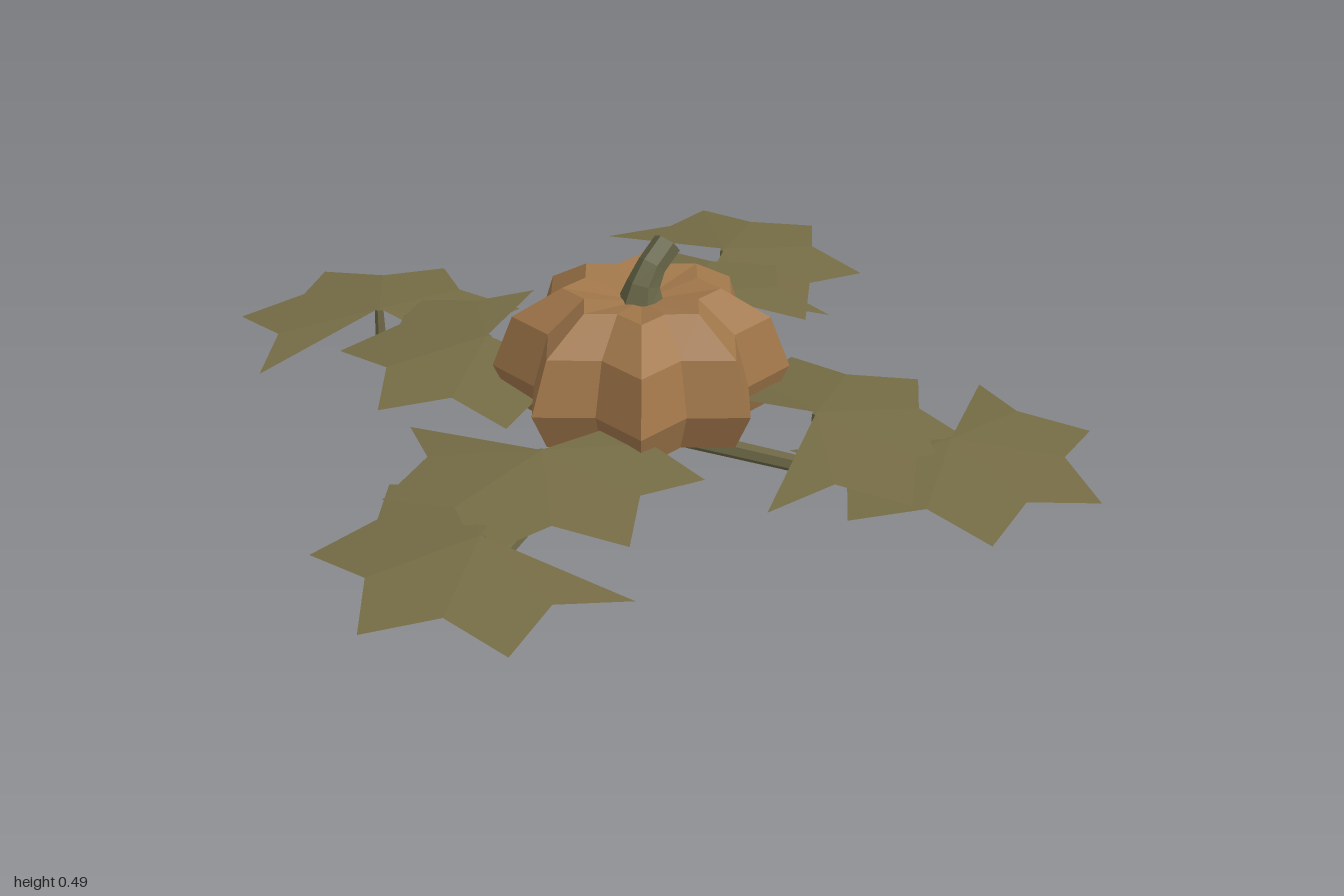
import * as THREE from 'three';

const CX = 0.013, CZ = 0.013; // pumpkin axis
const V = (x, y, z) => new THREE.Vector3(x, y, z);

const mat = (name, color, extra = {}) => {
  const m = new THREE.MeshStandardMaterial({ color, flatShading: true, ...extra });
  m.name = name;
  return m;
};

// Skin between closed rings of equal point count, listed bottom to top
function loft(rings) {
  const n = rings[0].length, pos = [], idx = [];
  rings.forEach(r => r.forEach(p => pos.push(p.x, p.y, p.z)));
  for (let i = 0; i < rings.length - 1; i++)
    for (let j = 0; j < n; j++) {
      const a = i * n + j, b = i * n + (j + 1) % n;
      idx.push(a, b, b + n, a, b + n, a + n);
    }
  const g = new THREE.BufferGeometry();
  g.setAttribute('position', new THREE.Float32BufferAttribute(pos, 3));
  g.setIndex(idx);
  g.computeVertexNormals();
  return g;
}

// Ring tilted about z, with every second point pulled in by the valley factor
function ring(cx, y, r, n, valley = 1, tilt = 0) {
  return Array.from({ length: n }, (_, j) => {
    const a = j / n * Math.PI * 2, q = j % 2 ? r * valley : r;
    return V(Math.cos(a) * q, 0, -Math.sin(a) * q)
      .applyAxisAngle(V(0, 0, 1), tilt).add(V(cx, y, CZ));
  });
}

// Leaf: seven-pointed star with one point missing, drooping from its centre
function leafGeometry(missing) {
  const pos = [0, 0, 0], idx = [], step = Math.PI * 2 / 7;
  const start = missing * Math.PI / 180 + step;
  for (let k = 0; k <= 10; k++) {
    const a = start + k * step / 2, tip = k % 2 === 0, r = tip ? 0.34 : 0.24;
    pos.push(Math.cos(a) * r, tip ? -0.05 : -0.032, -Math.sin(a) * r);
    if (k) idx.push(0, k, k + 1);
  }
  const g = new THREE.BufferGeometry();
  g.setAttribute('position', new THREE.Float32BufferAttribute(pos, 3));
  g.setIndex(idx);
  g.computeVertexNormals();
  return g;
}

// Tapered six-sided rod from a to b
function rodGeometry(a, b, ra, rb) {
  const d = b.clone().sub(a);
  const g = new THREE.CylinderGeometry(rb, ra, d.length(), 6);
  g.applyQuaternion(new THREE.Quaternion().setFromUnitVectors(V(0, 1, 0), d.normalize()));
  const m = a.clone().add(b).multiplyScalar(0.5);
  return g.translate(m.x, m.y, m.z);
}

export function createModel() {
  const model = new THREE.Group();
  model.name = 'pumpkinPlant';
  const rind = mat('pumpkin rind', 0xa0764a);
  const leafMat = mat('leaf green', 0x756c45, { side: THREE.DoubleSide });
  const vineMat = mat('vine green', 0x706a48);
  const stemMat = mat('stem green', 0x666547);

  const add = (parent, name, geometry, material) => {
    const m = new THREE.Mesh(geometry, material);
    m.name = name;
    parent.add(m);
    return m;
  };

  // Ribbed pumpkin body: [radius, height]
  const profile = [[0, 0.005], [0.285, 0.11], [0.327, 0.2], [0.282, 0.32], [0.172, 0.39], [0, 0.36]];
  add(model, 'pumpkin', loft(profile.map(([r, y]) => ring(CX, y, r, 16, 0.77))), rind);

  // Bent stem: [centre x, height, radius, tilt]
  const stem = [[0.01, 0.35, 0.055, 0], [0.02, 0.4, 0.037, -0.3], [0.045, 0.435, 0.032, -0.75],
    [0.093, 0.472, 0.032, -0.85], [0.093, 0.472, 0, -0.85]];
  add(model, 'stem', loft(stem.map(([x, y, r, t]) => ring(x, y, r, 6, 1, t))), stemMat);

  // Four vines: inner and outer leaf as [x, z, angle of the missing point]
  const vines = [
    [[0.356, -0.181, 260], [0.638, -0.319, 155]],
    [[-0.122, -0.346, 338], [-0.176, -0.67, 229]],
    [[-0.378, 0.112, 52], [-0.65, 0.23, 340]],
    [[0.144, 0.41, 153], [0.303, 0.649, 78]],
  ];
  for (const leaves of vines) {
    const vine = new THREE.Group();
    vine.name = 'vine';
    model.add(vine);
    let last = V(CX, 0.04, CZ);
    leaves.forEach(([x, z, missing], i) => {
      const top = i ? 0.16 : 0.19;
      const foot = V(x, i ? 0.06 : 0.052, z);
      add(vine, 'runner', rodGeometry(last, foot, i ? 0.019 : 0.022, i ? 0.015 : 0.019), vineMat);
      add(vine, 'leafStalk', rodGeometry(V(x, 0.045, z), V(x, top - 0.002, z), 0.014, 0.01), vineMat);
      add(vine, i ? 'outerLeaf' : 'innerLeaf', leafGeometry(missing), leafMat).position.set(x, top, z);
      last = foot;
    });
  }
  return model;
}
